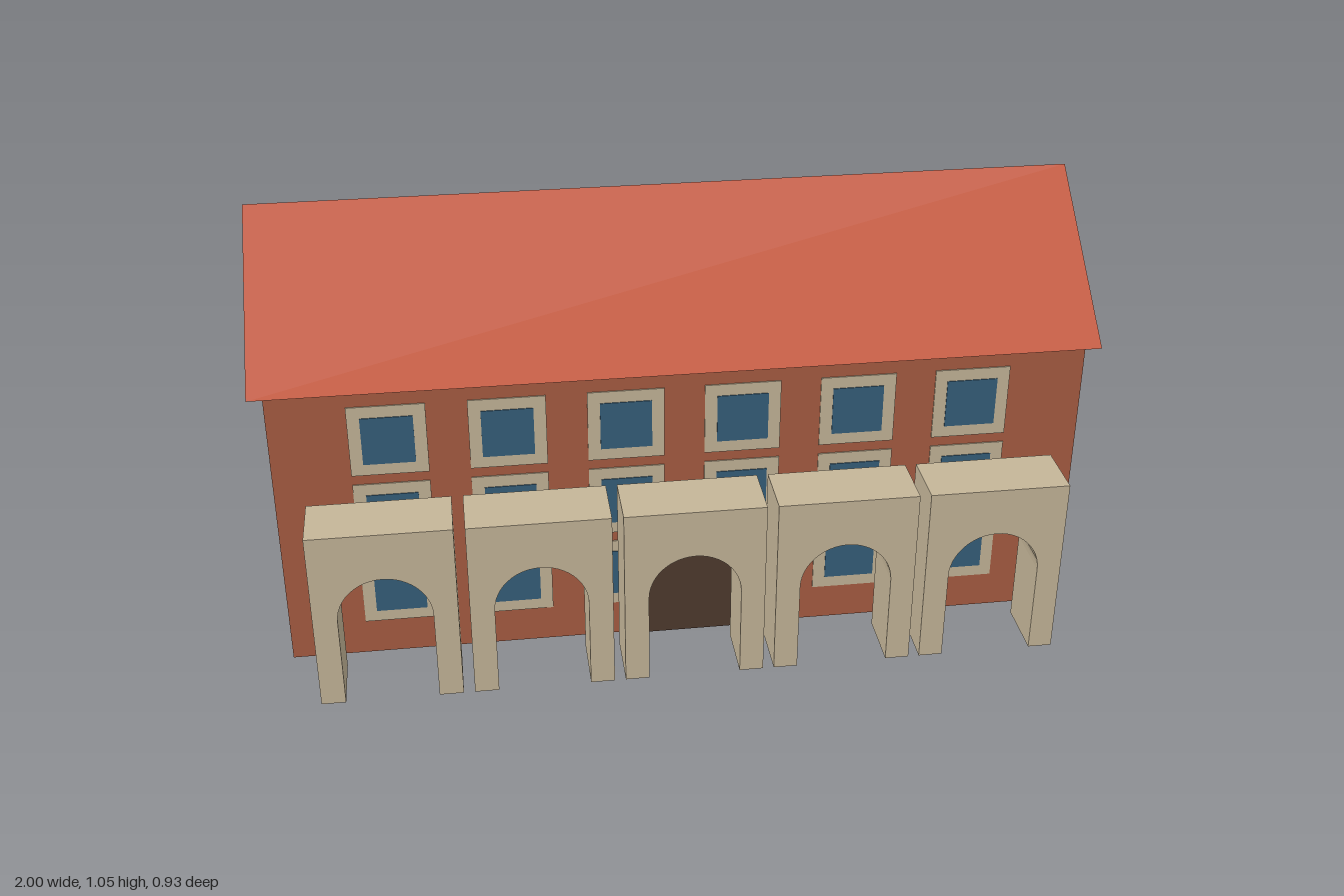
import * as THREE from 'three';

const mat = (name, color) => Object.assign(new THREE.MeshStandardMaterial({ color }), { name });

export function createModel() {
  const brick = mat('brick', 0xa85d42);
  const tile = mat('roof tile', 0xc2563a);
  const stone = mat('stone', 0xc4b598);
  const glass = mat('window glass', 0x365f7b);
  const wood = mat('door wood', 0x4f3a2e);

  const model = new THREE.Group();
  model.name = 'arcadedHouse';

  function add(parent, name, geometry, material, x = 0, y = 0, z = 0) {
    const mesh = new THREE.Mesh(geometry, material);
    mesh.name = name;
    mesh.position.set(x, y, z);
    parent.add(mesh);
    return mesh;
  }

  const extrude = (shape, depth, curveSegments = 12) =>
    new THREE.ExtrudeGeometry(shape, { depth, bevelEnabled: false, curveSegments });

  // Brick body
  const wallX = 0.965, front = 0.275, back = -0.45, wallTop = 0.725;
  add(model, 'walls', new THREE.BoxGeometry(wallX * 2, wallTop, front - back), brick,
    0, wallTop / 2, (front + back) / 2);

  // Gabled roof: triangle extruded along x
  const gable = new THREE.Shape([
    new THREE.Vector2(-0.378, 0), new THREE.Vector2(0.378, 0), new THREE.Vector2(0, 0.323),
  ]);
  const roofGeo = extrude(gable, 2).translate(0, 0, -1).rotateY(Math.PI / 2);
  add(model, 'roof', roofGeo, tile, 0, wallTop, -0.0875);

  // Windows: stone surround with a glass pane, facing +z
  const frameGeo = new THREE.BoxGeometry(0.181, 0.181, 0.004);
  const paneGeo = new THREE.BoxGeometry(0.122, 0.122, 0.004);
  function addWindow(x, y, z, turn) {
    const win = new THREE.Group();
    win.name = 'window';
    add(win, 'windowFrame', frameGeo, stone);
    add(win, 'windowPane', paneGeo, glass, 0, 0, 0.002);
    win.position.set(x, y, z);
    win.rotation.y = turn;
    model.add(win);
  }
  for (const y of [0.183, 0.389, 0.595]) {
    for (let i = 0; i < 6; i++) addWindow((i - 2.5) * 0.277, y, front + 0.001, 0);
    for (const z of [0.07, -0.242]) addWindow(wallX + 0.001, y, z, Math.PI / 2);
  }

  // Round-headed outline standing on y = 0
  function archOutline(path, halfWidth, spring) {
    path.moveTo(-halfWidth, 0);
    path.lineTo(halfWidth, 0);
    path.lineTo(halfWidth, spring);
    path.absarc(0, spring, halfWidth, 0, Math.PI, false);
    path.lineTo(-halfWidth, 0);
    return path;
  }

  // Arched door on the front wall
  add(model, 'door', extrude(archOutline(new THREE.Shape(), 0.117, 0.23), 0.009), wood, 0, 0, front);

  // Row of freestanding arches
  const w = 0.1675, h = 0.46, r = 0.11, spring = 0.23;
  const arch = new THREE.Shape();
  arch.moveTo(-w, 0);
  arch.lineTo(-r, 0);
  arch.lineTo(-r, spring);
  arch.absarc(0, spring, r, Math.PI, 0, true);
  arch.lineTo(r, 0);
  arch.lineTo(w, 0);
  arch.lineTo(w, h);
  arch.lineTo(-w, h);
  const archGeo = extrude(arch, 0.146);
  for (let i = -2; i <= 2; i++) add(model, 'arch', archGeo, stone, i * 0.3615, 0, 0.323);

  return model;
}
